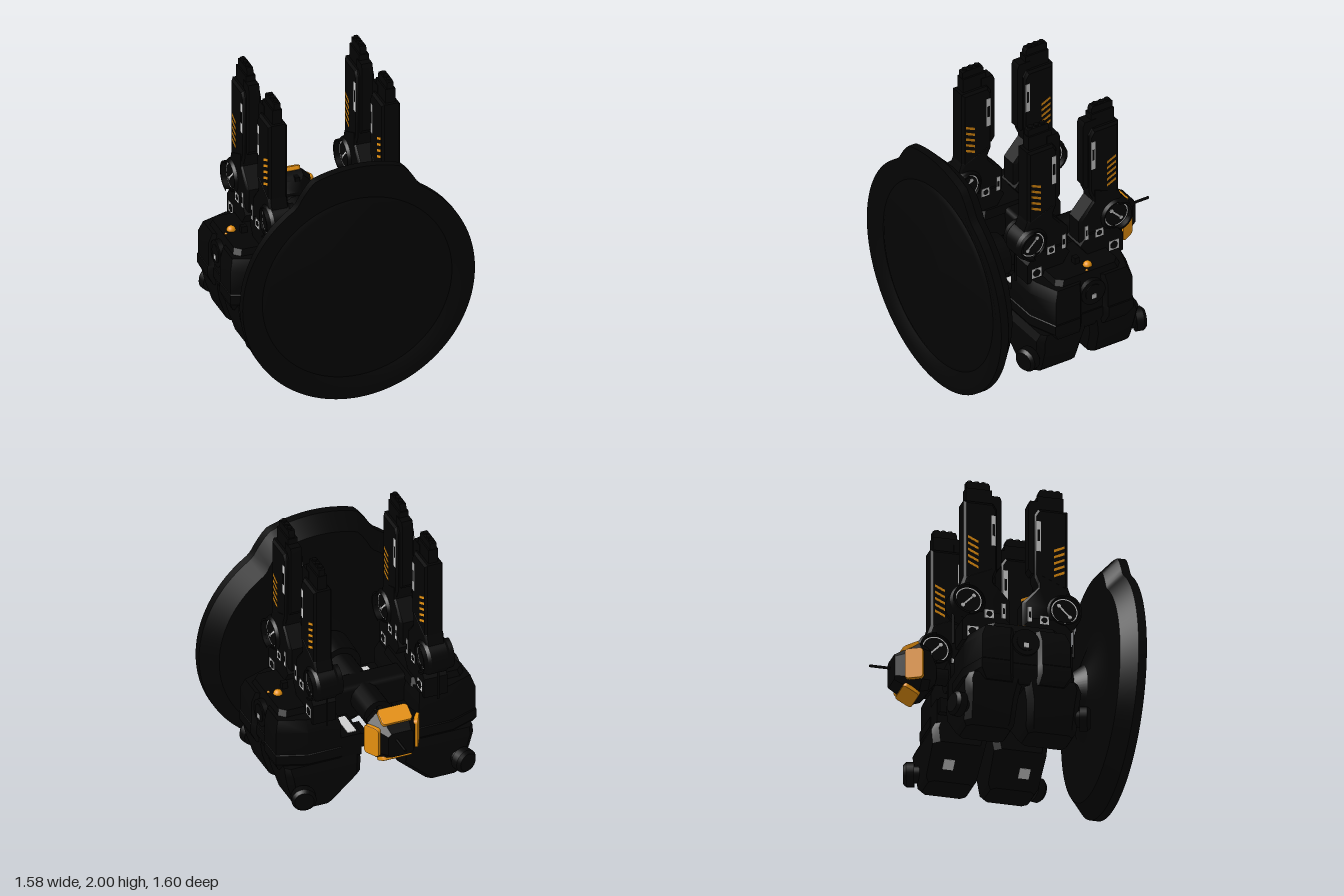
import * as THREE from 'three';
import { toCreasedNormals } from 'three/addons/utils/BufferGeometryUtils.js';
import { RoundedBoxGeometry } from 'three/addons/geometries/RoundedBoxGeometry.js';

const black = new THREE.MeshStandardMaterial({ color: 0x040404 });
black.name = 'black hull';
const orange = new THREE.MeshStandardMaterial({ color: 0xe8920f });
orange.name = 'orange glow';
const white = new THREE.MeshStandardMaterial({ color: 0xd0d0d0 });
white.name = 'white marking';

const V = (x, y, z) => new THREE.Vector3(x, y, z);
const Z0 = 0.033; // middle of the hull along z

// Closed solid through rings of equal point count, always wound outwards
function loft(rings) {
  const tris = [], n = rings[0].length;
  for (let r = 0; r < rings.length - 1; r++) {
    for (let i = 0; i < n; i++) {
      const j = (i + 1) % n, a = rings[r], b = rings[r + 1];
      tris.push([a[i], a[j], b[j]], [a[i], b[j], b[i]]);
    }
  }
  for (const end of [0, 1]) {
    const ring = end ? rings[rings.length - 1] : rings[0];
    const mid = ring.reduce((s, p) => s.add(p), V(0, 0, 0)).divideScalar(n);
    for (let i = 0; i < n; i++) {
      const p = ring[i], q = ring[(i + 1) % n];
      tris.push(end ? [mid, p, q] : [mid, q, p]);
    }
  }
  const volume = tris.reduce((s, [a, b, c]) => s + a.dot(b.clone().cross(c)), 0);
  const pts = tris.flatMap(([a, b, c]) => (volume < 0 ? [a, c, b] : [a, b, c]));
  return toCreasedNormals(new THREE.BufferGeometry().setFromPoints(pts), 0.5);
}

// Chamfered rectangle of eight corners as [u, v] pairs
const octagon = (u0, u1, v0, v1, c) => [
  [u0 + c, v0], [u1 - c, v0], [u1, v0 + c], [u1, v1 - c],
  [u1 - c, v1], [u0 + c, v1], [u0, v1 - c], [u0, v0 + c]];

// Side profile of [z, y] pairs given a thickness along x, with bevelled ends
function prism(profile, x, half, sz, bevel = 0) {
  const n = profile.length;
  const cz = profile.reduce((s, p) => s + p[0], 0) / n;
  const cy = profile.reduce((s, p) => s + p[1], 0) / n;
  const ring = (dx, k) => profile.map(([z, y]) =>
    V(x + dx, cy + (y - cy) * (1 + k) / 2, Z0 + sz * (cz + (z - cz) * k)));
  return bevel
    ? loft([ring(-half, 0.87), ring(-half + bevel, 1), ring(half - bevel, 1), ring(half, 0.87)])
    : loft([ring(-half, 1), ring(half, 1)]);
}
const rect = (z0, z1, y0, y1) => [[z0, y0], [z1, y0], [z1, y1], [z0, y1]];

// Turned part from [radius, height] pairs
const turned = (profile, start = 0, length = Math.PI * 2) => toCreasedNormals(
  new THREE.LatheGeometry(profile.map(([r, h]) => new THREE.Vector2(r, h)), 40, start, length), 0.4);

// Plate with rounded corners, lying flat in x and z
function roundedPlate(w, d, r) {
  const shape = new THREE.Shape(), a = w / 2 - r, b = d / 2 - r;
  shape.absarc(a, b, r, 0, Math.PI / 2);
  shape.absarc(-a, b, r, Math.PI / 2, Math.PI);
  shape.absarc(-a, -b, r, Math.PI, Math.PI * 1.5);
  shape.absarc(a, -b, r, Math.PI * 1.5, Math.PI * 2);
  const plate = new THREE.ExtrudeGeometry(shape, {
    depth: 0.018, curveSegments: 6, bevelSize: 0.006, bevelThickness: 0.006, bevelOffset: -0.006, bevelSegments: 2 });
  return plate.translate(0, 0, -0.009).rotateX(-Math.PI / 2);
}

export function createModel() {
  const model = new THREE.Group();
  const add = (name, geometry, material = black, x = 0, y = 0, z = 0, parent = model) => {
    const mesh = new THREE.Mesh(geometry, material);
    mesh.name = name;
    mesh.position.set(x, y, z);
    parent.add(mesh);
    return mesh;
  };
  const box = (name, x, y, z, w, h, d, mat = black) => add(name, new THREE.BoxGeometry(w, h, d), mat, x, y, z);
  const cyl = (name, r1, r2, len, x, y, z, axis, mat = black, sides = 32) => {
    const mesh = add(name, new THREE.CylinderGeometry(r1, r2, len, sides), mat, x, y, z);
    mesh.quaternion.setFromUnitVectors(V(0, 1, 0), axis.clone().normalize());
    return mesh;
  };

  // Round shield with a raised tab at the top, a groove and a flat inner disc
  const dishRing = (z, inset, round) => Array.from({ length: 128 }, (_, i) => {
    const a = ((i - 64) / 64) * Math.PI;
    const k = THREE.MathUtils.clamp((0.56 - Math.abs(a)) / 0.21, 0, 1);
    const r = round ? inset : 0.79 + 0.1 * k - inset;
    return V(Math.sin(a) * r, 0.79 + Math.cos(a) * r, z);
  });
  add('shield', loft([
    dishRing(0.5, 0.12, true), dishRing(0.58, 0.185, true), dishRing(0.645, 0.36, true),
    dishRing(0.652, 0.42, true), dishRing(0.652, 0.1), dishRing(0.745, 0), dishRing(0.8, 0), dishRing(0.8, 0.06),
    dishRing(0.78, 0.67, true), dishRing(0.77, 0.645, true), dishRing(0.785, 0.61, true)]));

  // Central spindle and cross arm
  const zAxis = V(0, 0, 1), xAxis = V(1, 0, 0);
  cyl('shieldMount', 0.15, 0.14, 0.2, 0, 0.79, 0.4, zAxis);
  cyl('spindle', 0.1, 0.1, 0.62, 0, 0.79, 0.01, zAxis, black, 16);
  cyl('tailNeck', 0.055, 0.055, 0.2, 0, 0.79, -0.34, zAxis, black, 12);
  add('crossArm', new RoundedBoxGeometry(0.8, 0.24, 0.17, 1, 0.03), black, 0, 0.77, 0);

  // Tail sensor head with four glowing panels
  const headRing = (z, h, c) => octagon(-h, h, -h, h, c).map(([x, y]) => V(x, 0.79 + y, z));
  add('sensorHead', loft([headRing(-0.385, 0.07, 0.03), headRing(-0.43, 0.13, 0.05), headRing(-0.45, 0.15, 0.05),
    headRing(-0.51, 0.168, 0.06), headRing(-0.61, 0.118, 0.04), headRing(-0.665, 0.088, 0.02)]));
  for (let i = 0; i < 4; i++) {
    const pivot = new THREE.Group();
    pivot.name = 'sensorPanel';
    pivot.position.set(0, 0.79, -0.555);
    pivot.rotation.z = i * Math.PI / 2;
    add('glowPanel', roundedPlate(0.21, 0.12, 0.025), orange, 0, 0.152, 0, pivot).rotation.x = -0.49;
    model.add(pivot);
  }
  for (const x of [-0.05, 0.05]) box('headFin', x, 0.93, -0.45, 0.03, 0.03, 0.06);
  cyl('antenna', 0.009, 0.009, 0.15, 0.03, 0.826, -0.725, zAxis, black, 10);

  // Upper hull on each side
  const plan = [[0.27, -0.36], [0.5, -0.36], [0.69, -0.29], [0.69, -0.105], [0.66, -0.08],
    [0.66, 0.08], [0.69, 0.105], [0.69, 0.29], [0.5, 0.36], [0.27, 0.36]];
  for (const s of [-1, 1]) {
    const hullRing = (y, k) => plan.map(([x, z]) => V(s * (0.46 + (x - 0.46) * k), y, Z0 + z * k));
    add('upperHull', loft([hullRing(0.5, 0.88), hullRing(0.565, 1.02), hullRing(0.63, 1.02), hullRing(0.635, 1),
      hullRing(0.8, 1), hullRing(0.875, 0.9)]));
    const deckRing = (y, k) => octagon(-0.17 * k, 0.17 * k, -0.23 * k, 0.23 * k, 0.04)
      .map(([x, z]) => V(s * (0.46 + x), y, Z0 + z));
    add('hullDeck', loft([deckRing(0.86, 1.1), deckRing(0.915, 1)]));
    cyl('hubDisc', 0.09, 0.09, 0.06, s * 0.65, 0.78, Z0, xAxis);
    cyl('hubCap', 0.06, 0.06, 0.07, s * 0.65, 0.78, Z0, xAxis);
    box('hubMark', s * 0.686, 0.755, Z0, 0.006, 0.032, 0.032, white);
    add('beacon', new THREE.SphereGeometry(0.03, 20, 14), orange, s * 0.565, 0.915, 0.005);
    add('smallBeacon', new THREE.SphereGeometry(0.01, 12, 8), orange, s * 0.615, 0.916, 0.042);
    box('beaconPost', s * 0.5, 0.92, 0.053, 0.04, 0.08, 0.035);
    box('innerRail', s * 0.12, 0.64, -0.25, 0.07, 0.1, 0.14);
    box('innerRail', s * 0.12, 0.64, 0.235, 0.07, 0.1, 0.12);

    for (const t of [-1, 1]) buildQuarter(s, t);
  }

  // Lower pod, thruster, arm and cannon of one corner
  function buildQuarter(s, t) {
    const zAt = (z) => Z0 + t * z;
    const podRing = (y, x0, x1, z0, z1, c) => octagon(x0, x1, z0, z1, c).map(([x, z]) => V(s * x, y, zAt(z)));
    add('lowerPod', loft([podRing(0.22, 0.33, 0.55, 0.06, 0.35, 0.03), podRing(0.25, 0.3, 0.58, 0.04, 0.37, 0.04),
      podRing(0.405, 0.13, 0.63, 0.03, 0.375, 0.04), podRing(0.5, 0.13, 0.65, 0.01, 0.385, 0.04),
      podRing(0.55, 0.13, 0.65, 0.01, 0.36, 0.03)]));
    box('innerLedge', s * 0.205, 0.62, zAt(0.205), 0.15, 0.16, 0.31);
    box('ledgeStrip', s * 0.18, 0.701, zAt(0.235), 0.06, 0.006, 0.185, white);
    const square = box('podMark', s * 0.242, 0.302, zAt(0.25), 0.07, 0.006, 0.07, white);
    square.rotation.z = -s * 0.74;

    // Thruster tilted outwards
    const axis = V(s * 0.3, 0, t).normalize();
    const thrust = (name, r1, r2, len, d) => cyl(name, r1, r2, len,
      s * 0.55 + axis.x * d, 0.35, zAt(0.4) + axis.z * d, axis, black, 24);
    thrust('thrusterNeck', 0.055, 0.06, 0.16, -0.06);
    thrust('thruster', 0.08, 0.08, 0.05, 0.015);
    thrust('thrusterRim', 0.062, 0.08, 0.02, 0.05);

    // Pedestal, and a bevelled elbow drum with sunken end faces and an outer guard
    const x = s * 0.385;
    add('pedestal', prism([[0.36, 0.85], [0.36, 0.99], [0.3, 1.06], [0.1, 1.06], [0.04, 0.99], [0.09, 0.92], [0.12, 0.85]], x, 0.08, t));
    cyl('hose', 0.008, 0.008, 0.26, x, 0.98, zAt(0.397), V(0, 1, 0), black, 8);
    const turn = (name, geometry) => {
      add(name, geometry, black, x, 1.135, zAt(0.317)).rotation.z = -Math.PI / 2;
    };
    turn('elbow', turned([[0, -0.068], [0.092, -0.068], [0.092, -0.085], [0.1, -0.085], [0.118, -0.058],
      [0.118, 0.058], [0.1, 0.085], [0.092, 0.085], [0.092, 0.068], [0, 0.068]]));
    for (const [lo, hi] of [[-0.106, -0.07], [0.07, 0.106]]) {
      turn('elbowGuard', turned([[0.092, lo], [0.105, lo], [0.105, hi], [0.092, hi], [0.092, lo]],
        -t * Math.PI / 2, Math.PI));
    }

    // Arm, cannon body, side slide and barrels
    add('arm', prism([[0.344, 1.31], [0.15, 1.39], [0.15, 1.29], [0.042, 1.17], [0.042, 1.01], [0.095, 0.96],
      [0.3, 0.98], [0.39, 1.05], [0.39, 1.18]], x, 0.065, t, 0.012));
    add('cannonBody', prism([[0.344, 1.28], [0.344, 1.84], [0.15, 1.84], [0.125, 1.8], [0.125, 1.36], [0.16, 1.28]], x, 0.063, t, 0.014));
    add('cannonSlide', prism([[0.185, 1.4], [0.185, 1.9], [0.1, 1.9], [0.088, 1.87], [0.088, 1.42], [0.11, 1.39]], x, 0.037, t));
    add('barrelShroud', prism(rect(0.15, 0.322, 1.8, 1.94), x, 0.033, t));
    add('barrelCore', prism([[0.318, 1.9], [0.318, 1.985], [0.29, 1.99], [0.17, 1.99], [0.16, 1.97], [0.16, 1.9]], x, 0.022, t));
    for (const z of [0.2, 0.245, 0.29]) cyl('muzzle', 0.017, 0.017, 0.06, x, 1.97, zAt(z), V(0, 1, 0), black, 12);

    // Painted markings on both faces of the arm and cannon
    for (const f of [-1, 1]) {
      const mark = (name, profile, d, mat = white) => add(name, prism(profile, x + f * d, 0.0015, t), mat);
      const disc = (name, z, y, r, d, mat) => cyl(name, r, r, 0.003, x + f * d, y, zAt(z), xAxis, mat, 20);
      for (let i = 0; i < 5; i++) {
        const y = 1.4 + i * 0.044;
        mark('stripe', [[0.318, y], [0.25, y - 0.032], [0.25, y - 0.014], [0.318, y + 0.018]], 0.063, orange);
      }
      mark('slideStrip', rect(0.132, 0.164, 1.54, 1.75), 0.063);
      mark('slideSlot', rect(0.14, 0.156, 1.61, 1.69), 0.065, black);
      mark('armStrip', rect(0.072, 0.1, 1.03, 1.135), 0.081);
      mark('armSlot', rect(0.08, 0.092, 1.06, 1.1), 0.083, black);
      mark('armSquare', rect(0.153, 0.212, 1.022, 1.081), 0.081);
      disc('armSquareDot', 0.182, 1.051, 0.019, 0.083, black);
      mark('baseSquare', rect(0.255, 0.328, 0.88, 0.95), 0.081);
      disc('baseSquareDot', 0.292, 0.915, 0.027, 0.083, black);

      const ring = add('elbowRing', new THREE.RingGeometry(0.08, 0.087, 40), white, x + f * 0.07, 1.135, zAt(0.317));
      ring.rotation.y = f * Math.PI / 2;
      mark('elbowBar', [[0.352, 1.093], [0.358, 1.101], [0.284, 1.176], [0.276, 1.168]], 0.069);
      disc('elbowBarEnd', 0.353, 1.098, 0.013, 0.07, white);
      disc('elbowBarEnd', 0.281, 1.171, 0.013, 0.07, white);
    }
  }

  return model;
}
